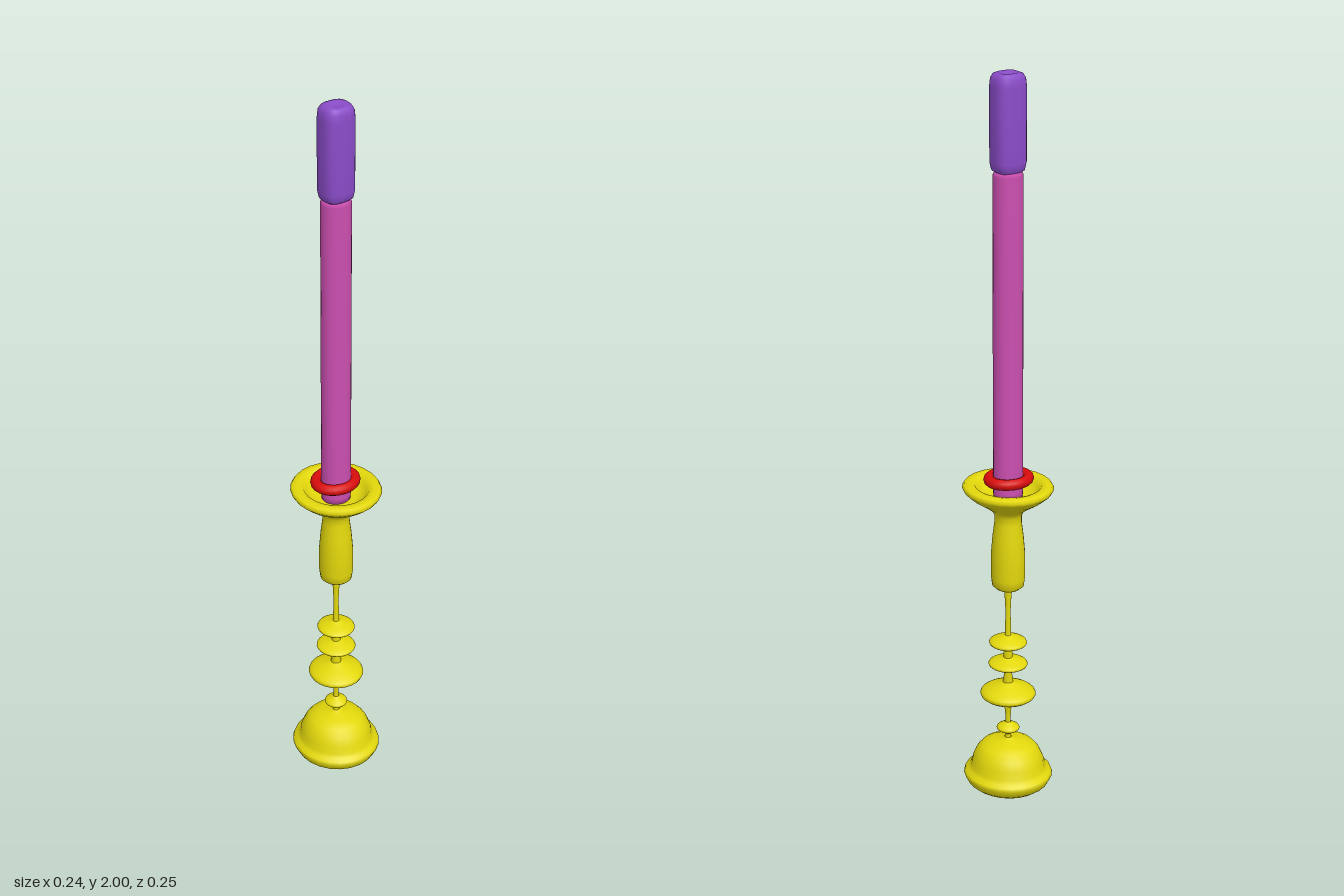
import * as THREE from 'three';

const brass = new THREE.MeshStandardMaterial({ color: 0xe3d80c, side: THREE.DoubleSide });
const pink = new THREE.MeshStandardMaterial({ color: 0xcc4fb0 });
const purple = new THREE.MeshStandardMaterial({ color: 0x8a4cc8 });
const red = new THREE.MeshStandardMaterial({ color: 0xd80c0c });

// Turned part from [radius, y] pairs; depth stretches it along z
function turned(name, profile, material, depth = 1, segments = 24) {
  const points = profile.map(([r, y]) => new THREE.Vector2(r, y));
  const geometry = new THREE.LatheGeometry(points, segments);
  geometry.scale(1, 1, depth);
  const mesh = new THREE.Mesh(geometry, material);
  mesh.name = name;
  return mesh;
}

// Lens-shaped bead along the stem
function bead(name, y, radius, height) {
  const profile = [];
  for (let i = 0; i <= 12; i++) {
    const t = i / 6 - 1;
    const r = 0.008 + (radius - 0.008) * Math.pow(Math.cos(t * Math.PI / 2), 1.3);
    profile.push([Math.max(r || 0.008, 0.008), y + t * height / 2]);
  }
  return turned(name, profile, brass, 1.04);
}

export function createModel() {
  const model = new THREE.Group();
  model.name = 'candlestick';

  // Domed foot with a flared rim
  model.add(turned('foot', [
    [0, 0], [0.06, 0.003], [0.095, 0.008], [0.11, 0.02], [0.12, 0.04], [0.117, 0.049],
    [0.107, 0.055], [0.1, 0.065], [0.096, 0.085], [0.086, 0.108], [0.07, 0.127],
    [0.045, 0.137], [0.02, 0.141], [0.009, 0.148],
  ], brass, 1.05));

  // Thin stem carrying four beads
  model.add(turned('stem', [
    [0.01, 0.13], [0.007, 0.16], [0.007, 0.2], [0.008, 0.23], [0.015, 0.255], [0.015, 0.31],
    [0.011, 0.34], [0.012, 0.4], [0.008, 0.47], [0.007, 0.53], [0.009, 0.57], [0.012, 0.61],
  ], brass));
  model.add(bead('smallBead', 0.177, 0.031, 0.036));
  model.add(bead('largeBead', 0.283, 0.075, 0.075));
  model.add(bead('middleBead', 0.372, 0.053, 0.042));
  model.add(bead('upperBead', 0.436, 0.051, 0.044));

  // Candle holder opening into a drip dish
  model.add(turned('holder', [
    [0, 0.596], [0.032, 0.598], [0.042, 0.607], [0.045, 0.63], [0.045, 0.7], [0.041, 0.75],
    [0.036, 0.79], [0.036, 0.81], [0.043, 0.825], [0.065, 0.842], [0.095, 0.862],
    [0.115, 0.88], [0.12, 0.889], [0.115, 0.897], [0.1, 0.899], [0.087, 0.896],
    [0.08, 0.885], [0.068, 0.873], [0.05, 0.865], [0, 0.862],
  ], brass, 1.055));

  // Candle
  model.add(turned('candle', [
    [0, 0.86], [0.039, 0.86], [0.04, 0.88], [0.04, 1.3], [0.04, 1.737], [0.036, 1.747], [0, 1.75],
  ], pink, 0.96));

  // Collar ring around the candle
  const collar = new THREE.Mesh(new THREE.TorusGeometry(0.054, 0.0155, 12, 24), red);
  collar.name = 'collar';
  collar.rotation.x = Math.PI / 2;
  collar.scale.set(1, 0.88, 0.95);
  collar.position.set(0, 0.915, -0.003);
  model.add(collar);

  // Squarish top cap, its round section pushed out towards the corners
  const cap = turned('cap', [
    [0, 1.742], [0.03, 1.744], [0.04, 1.752], [0.044, 1.772], [0.044, 1.87], [0.044, 1.965],
    [0.042, 1.985], [0.036, 1.996], [0.026, 2], [0.012, 1.997], [0, 1.995],
  ], purple, 1, 32);
  const position = cap.geometry.attributes.position;
  for (let i = 0; i < position.count; i++) {
    const x = position.getX(i), z = position.getZ(i);
    const r = Math.hypot(x, z);
    if (r < 1e-6) continue;
    const c = Math.abs(x / r), s = Math.abs(z / r);
    const k = Math.pow(c ** 3 + s ** 3, -1 / 3);
    position.setX(i, x * k);
    position.setZ(i, z * k * 0.9);
  }
  cap.geometry.computeVertexNormals();
  model.add(cap);

  return model;
}
